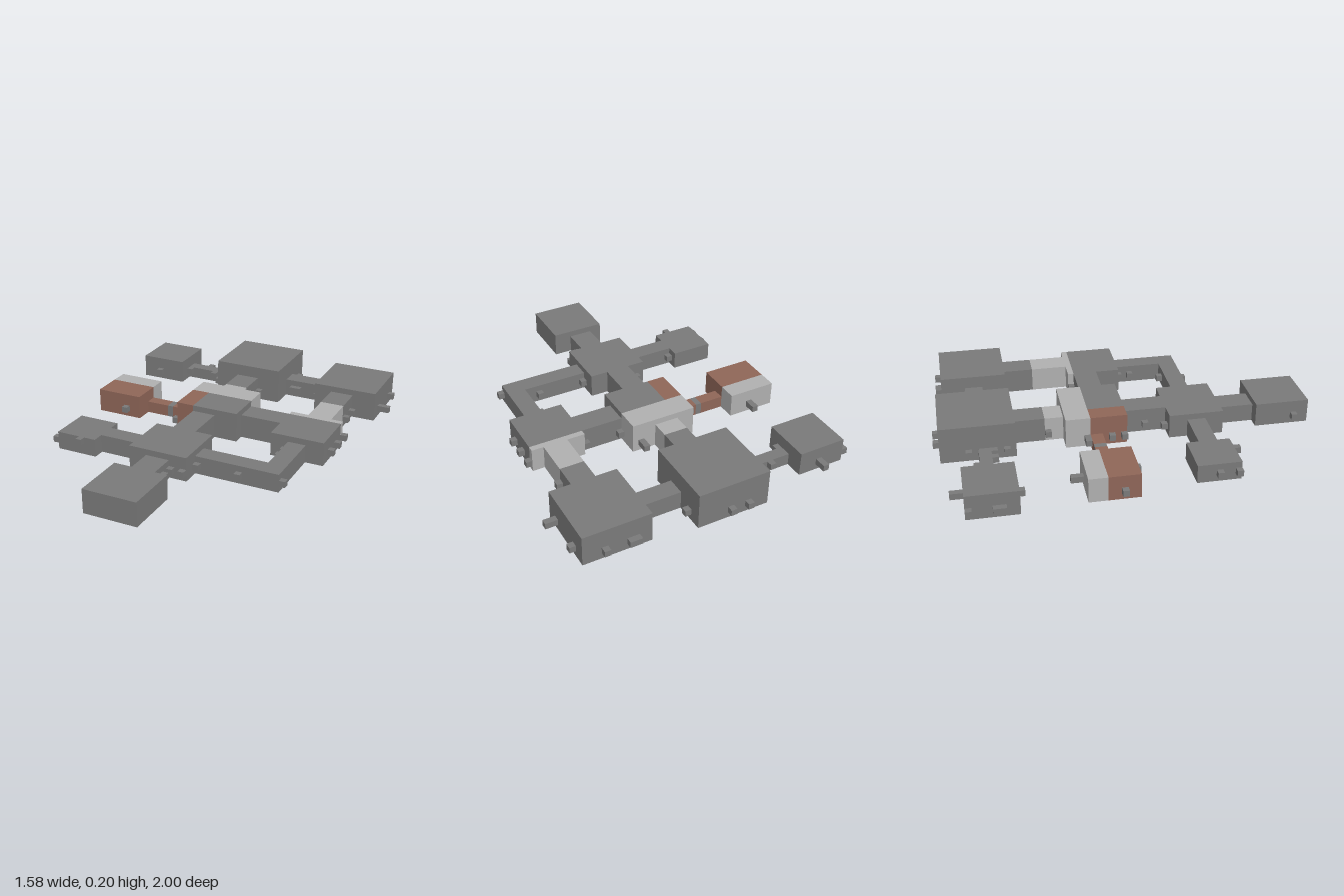
import * as THREE from 'three';

// Everything sits on a grid of 49 x 62 square cells
const U = 2 / 62, X0 = -24.5, Z0 = -31;

const mat = (name, color) => Object.assign(new THREE.MeshStandardMaterial({ color }), { name });

export function createModel() {
  const model = new THREE.Group();
  model.name = 'dungeonMap';
  const stone = mat('stone', 0x7a7a7a);
  const pale = mat('paleStone', 0xb0b0b0);
  const brown = mat('brownStone', 0x8f6658);
  const hatch = mat('hatchOrange', 0xb05a18);
  // pale blocks keep a plain stone underside
  const paleBlock = [pale, pale, pale, stone, pale, pale];

  // Box spanning cells x0..x1, z0..z1, y0..y1
  function block(name, material, [x0, x1, z0, z1, y1], y0 = 0, parent = model) {
    const geo = new THREE.BoxGeometry((x1 - x0) * U, (y1 - y0) * U, (z1 - z0) * U);
    const mesh = new THREE.Mesh(geo, material);
    mesh.position.set(((x0 + x1) / 2 + X0) * U, ((y0 + y1) / 2) * U, ((z0 + z1) / 2 + Z0) * U);
    mesh.name = name;
    parent.add(mesh);
  }

  // Rooms: x0, x1, z0, z1, height
  block('backLeftRoom', stone, [1, 9, 4, 12, 4]);
  block('backHall', stone, [17, 29, 1, 13, 6]);
  block('backRightRoom', stone, [36, 47, 2, 13, 5]);
  block('sideRoomPale', paleBlock, [2, 10, 22, 25, 4]);
  block('sideRoomBrown', brown, [2, 10, 25, 30, 4]);
  block('centreRoomPale', paleBlock, [18, 29, 21, 25, 5]);
  block('centreRoomBrown', brown, [18, 21, 25, 31, 5]);
  block('centreRoomStone', stone, [21, 29, 25, 31, 5]);
  block('rightRoomPale', paleBlock, [36, 45, 24, 25, 4]);
  block('rightRoomStone', stone, [36, 45, 25, 33, 4]);
  block('frontLeftRoom', stone, [4, 11, 39, 46, 3]);
  block('frontHall', stone, [18, 28, 38, 47, 4]);
  block('entranceRoom', stone, [19, 28, 53, 62, 4]);

  // Corridors
  block('backLeftCorridor', stone, [9, 17, 7, 9, 2]);
  block('backRightCorridor', stone, [29, 36, 6, 9, 3]);
  block('hallCorridorStone', stone, [21, 25, 13, 18, 4]);
  block('hallCorridorPale', paleBlock, [21, 25, 18, 21, 4]);
  block('rightCorridorStone', stone, [39, 43, 13, 18, 4]);
  block('rightCorridorPale', paleBlock, [39, 43, 18, 24, 4]);
  block('sideCorridorInner', brown, [10, 14, 25, 27, 2]);
  block('sideCorridorBand', stone, [14, 15, 25, 27, 2]);
  block('sideCorridorOuter', brown, [15, 18, 25, 27, 2]);
  block('centreRightCorridor', stone, [29, 36, 25, 29, 4]);
  block('centreFrontCorridor', stone, [21, 25, 31, 38, 4]);
  block('bendCorridorBack', stone, [39, 42, 33, 41, 3]);
  block('bendCorridorFront', stone, [28, 42, 41, 44, 3]);
  block('frontLeftCorridor', stone, [11, 18, 41, 44, 3]);
  block('entranceCorridor', stone, [21, 25, 47, 53, 3]);

  // Thin hatches under two rooms
  block('backHallHatch', hatch, [19, 22, 4, 7, 0.02], -0.08);
  block('backRightHatch', hatch, [42, 45, 7, 10, 0.02], -0.08);

  // Small alcoves along the walls, one cell each, as [x, z]
  const alcoves = {
    backLeft: [[5, 2], [5, 3], [0, 4], [0, 8], [0, 9], [4, 12], [12, 6], [14, 9], [9, 9]],
    backHall: [[20, 0], [23, 0], [16, 5], [16, 9], [16, 11], [29, 3], [25, 13], [25, 16], [20, 18]],
    backRight: [[30, 9], [31, 9], [35, 4], [35, 5], [35, 10], [38, 1], [39, 1], [43, 1],
      [47, 4], [47, 10], [48, 10], [43, 14], [43, 17]],
    side: [[6, 20], [6, 21], [1, 27], [7, 30]],
    centre: [[27, 19], [27, 20], [29, 24], [16, 24], [17, 24], [17, 28], [17, 30], [20, 34], [19, 37]],
    right: [[35, 24], [45, 24], [45, 27], [45, 30], [38, 33], [38, 35], [42, 43], [36, 40], [35, 44]],
    front: [[28, 40], [28, 44], [25, 47], [27, 47], [25, 49], [18, 59]],
    frontLeft: [[3, 42], [3, 45], [11, 40]],
  };
  for (const [place, cells] of Object.entries(alcoves)) {
    const group = new THREE.Group();
    group.name = place + 'Alcoves';
    for (const [x, z] of cells) block('alcove', stone, [x, x + 1, z, z + 1, 2], 1, group);
    model.add(group);
  }
  block('highAlcove', stone, [8, 9, 46, 47, 3], 2);

  return model;
}
